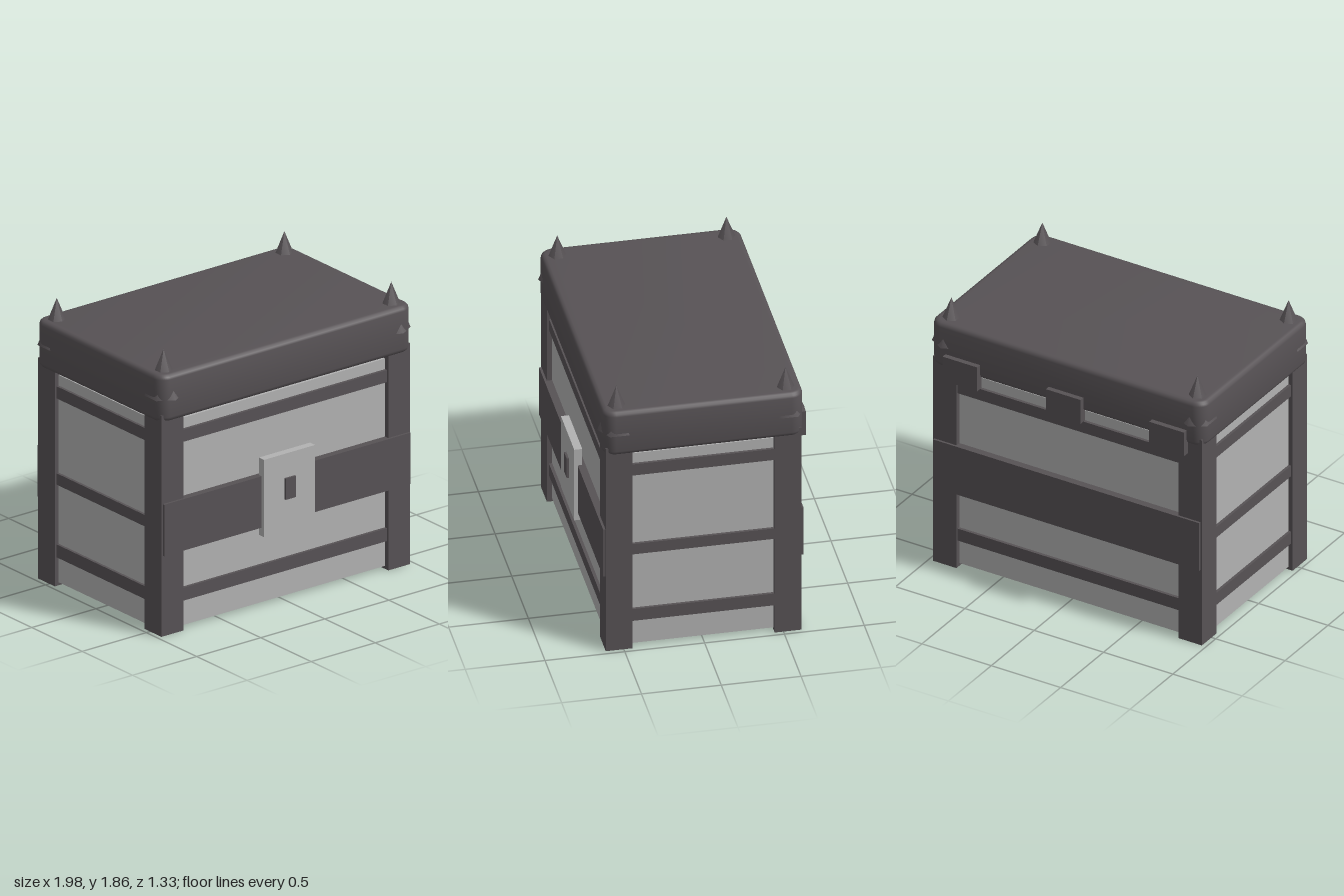
import * as THREE from 'three';
import { toCreasedNormals } from 'three/addons/utils/BufferGeometryUtils.js';

const darkMetal = new THREE.MeshStandardMaterial({ name: 'darkMetal', color: 0x575255 });
const paleGrey = new THREE.MeshStandardMaterial({ name: 'paleGrey', color: 0xb2b2b2 });

// Box given by its limits on each axis
function box(name, material, [x0, x1], [y0, y1], [z0, z1]) {
  const mesh = new THREE.Mesh(new THREE.BoxGeometry(x1 - x0, y1 - y0, z1 - z0), material);
  mesh.position.set((x0 + x1) / 2, (y0 + y1) / 2, (z0 + z1) / 2);
  mesh.name = name;
  return mesh;
}

// Limits of a span on the positive or negative side of an axis
const side = (s, a, b) => (s > 0 ? [a, b] : [-b, -a]);

// Slab with rounded corners and softened edges
function lidGeometry(halfX, halfZ, height, radius, bevel) {
  const w = halfX - bevel, d = halfZ - bevel, r = radius - bevel;
  const shape = new THREE.Shape();
  shape.absarc(w - r, d - r, r, 0, Math.PI / 2);
  shape.absarc(-w + r, d - r, r, Math.PI / 2, Math.PI);
  shape.absarc(-w + r, -d + r, r, Math.PI, Math.PI * 1.5);
  shape.absarc(w - r, -d + r, r, Math.PI * 1.5, Math.PI * 2);
  const geometry = new THREE.ExtrudeGeometry(shape, {
    depth: height - 2 * bevel, bevelThickness: bevel, bevelSize: bevel, bevelSegments: 3, curveSegments: 5,
  });
  geometry.rotateX(-Math.PI / 2).translate(0, bevel, 0);
  return toCreasedNormals(geometry, 0.8);
}

export function createModel() {
  const chest = new THREE.Group();
  chest.name = 'chest';

  // Body
  chest.add(box('body', paleGrey, [-0.94, 0.94], [0.02, 1.39], [-0.58, 0.58]));

  // Corner posts and the spikes set into the lid above them
  for (const sx of [1, -1]) {
    for (const sz of [1, -1]) {
      chest.add(box('cornerPost', darkMetal, side(sx, 0.8, 0.97), [0, 1.46], side(sz, 0.445, 0.613)));
      const spike = new THREE.Mesh(new THREE.ConeGeometry(0.12, 0.305, 6), darkMetal);
      spike.position.set(sx * 0.888, 1.555 + 0.1525, sz * 0.53);
      spike.name = 'lidSpike';
      chest.add(spike);
    }
  }

  // Horizontal rails and the broad straps
  for (const s of [1, -1]) {
    for (const y of [[0.19, 0.275], [1.24, 1.32]]) {
      chest.add(box('longRail', darkMetal, [-0.82, 0.82], y, side(s, 0.56, 0.6)));
    }
    for (const y of [[0.19, 0.275], [0.67, 0.745], [1.24, 1.32]]) {
      chest.add(box('sideRail', darkMetal, side(s, 0.92, 0.958), y, [-0.46, 0.46]));
    }
    chest.add(box('broadStrap', darkMetal, [-0.96, 0.96], [0.535, 0.875], side(s, 0.57, 0.628)));
  }

  // Lid
  const lid = new THREE.Mesh(lidGeometry(0.987, 0.628, 0.308, 0.08, 0.03), darkMetal);
  lid.position.y = 1.412;
  lid.name = 'lid';
  chest.add(lid);

  // Lock plate with keyhole
  chest.add(box('lockPlate', paleGrey, [-0.2, 0.2], [0.48, 0.99], [0.6, 0.65]));
  chest.add(box('keyhole', darkMetal, [-0.04, 0.04], [0.69, 0.83], [0.64, 0.664]));

  // Hinges
  for (const x of [-0.745, 0, 0.745]) {
    chest.add(box('hinge', darkMetal, [x - 0.125, x + 0.125], [1.34, 1.51], [-0.662, -0.61]));
  }

  return chest;
}
